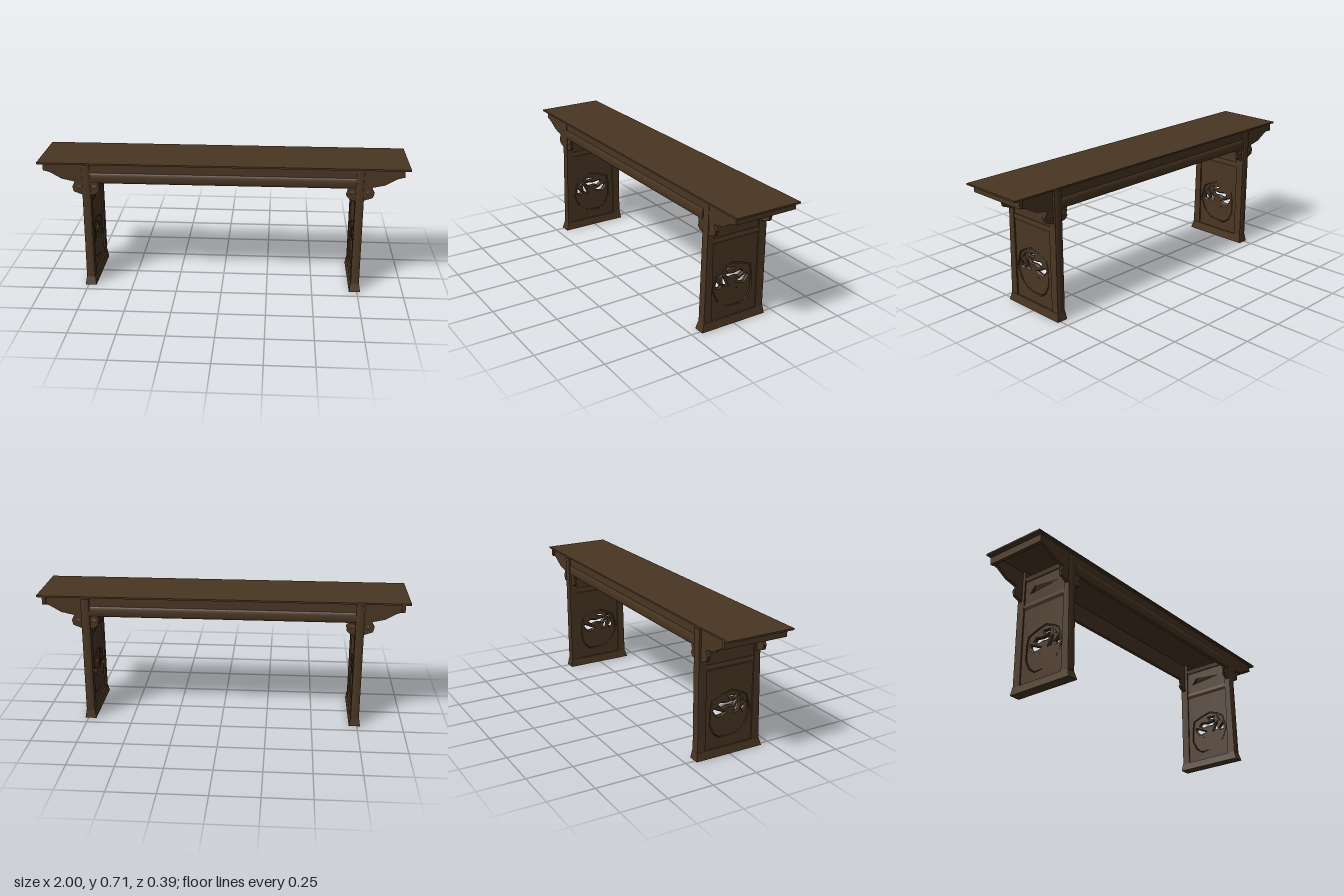
import * as THREE from 'three';

const wood = new THREE.MeshStandardMaterial({ color: 0x4a3623, side: THREE.DoubleSide });
wood.name = 'darkWood';

const LEG_X = 0.737;
const vec = (pts) => pts.map(([a, b]) => new THREE.Vector2(a, b));

function add(group, name, geometry, x = 0, y = 0, z = 0) {
  const mesh = new THREE.Mesh(geometry, wood);
  mesh.name = name;
  mesh.position.set(x, y, z);
  group.add(mesh);
  return mesh;
}

// Box given by its limits
function block(group, name, x0, x1, y0, y1, z0, z1) {
  return add(group, name, new THREE.BoxGeometry(x1 - x0, y1 - y0, z1 - z0),
    (x0 + x1) / 2, (y0 + y1) / 2, (z0 + z1) / 2);
}

// Box whose top rectangle differs from its bottom: [x0, x1, z0, z1]
function taperedBox(bottom, top, y0, y1) {
  const g = new THREE.BoxGeometry(1, 1, 1).toNonIndexed();
  const p = g.attributes.position;
  for (let i = 0; i < p.count; i++) {
    const r = p.getY(i) > 0 ? top : bottom;
    p.setXYZ(i, p.getX(i) > 0 ? r[1] : r[0], p.getY(i) > 0 ? y1 : y0, p.getZ(i) > 0 ? r[3] : r[2]);
  }
  g.computeVertexNormals();
  return g;
}

// Section in (x, y) run along z
function moulding(pts, z0, z1) {
  const g = new THREE.ExtrudeGeometry(new THREE.Shape(vec(pts)), { depth: z1 - z0, bevelEnabled: false });
  return g.translate(0, 0, z0);
}

// Shape in (z, y) thickened evenly about x = 0
function sidePlate(shape, depth, bevel = 0) {
  const g = new THREE.ExtrudeGeometry(shape, {
    depth, bevelEnabled: bevel > 0, bevelThickness: bevel, bevelSize: bevel,
    bevelOffset: -bevel, bevelSegments: 1,
  });
  return g.rotateY(-Math.PI / 2).translate(depth / 2, 0, 0);
}

const medallion = [
  [0.132, 0.215], [0.108, 0.3], [0.07, 0.325], [0.015, 0.346], [-0.04, 0.333], [-0.105, 0.308],
  [-0.116, 0.25], [-0.117, 0.175], [-0.09, 0.12], [-0.05, 0.092], [0.05, 0.105], [0.1, 0.145],
];
const piercings = [
  [[0.094, 0.274], [0.088, 0.304], [0.066, 0.31], [0.076, 0.285]],
  [[0.04, 0.308], [0, 0.31], [0.004, 0.3], [0.034, 0.298]],
  [[0.042, 0.281], [-0.008, 0.274], [-0.05, 0.281], [-0.06, 0.27], [-0.038, 0.255], [-0.01, 0.262], [0.026, 0.259]],
  [[0.064, 0.268], [0.053, 0.259], [0.034, 0.219], [0.058, 0.225]],
  [[0.103, 0.255], [0.079, 0.228], [0.085, 0.217], [0.103, 0.221]],
  [[-0.02, 0.225], [-0.05, 0.236], [-0.087, 0.255], [-0.089, 0.243], [-0.068, 0.215], [-0.04, 0.219]],
  [[0.064, 0.191], [0.034, 0.191], [0.004, 0.179], [0.006, 0.16], [0.034, 0.164]],
  [[0.094, 0.166], [0.072, 0.198], [0.053, 0.16], [0.058, 0.149], [0.092, 0.153]],
  [[0.051, 0.108], [0.015, 0.153], [-0.006, 0.138], [-0.004, 0.128]],
  [[-0.02, 0.128], [-0.064, 0.136], [-0.06, 0.111], [-0.036, 0.108]],
  [[-0.025, 0.2], [-0.04, 0.204], [-0.036, 0.164], [-0.028, 0.145]],
];
const notch = [[0.1, 0.58], [-0.075, 0.6], [-0.11, 0.56]];

function makeLeg() {
  const leg = new THREE.Group();

  // Flared foot and the two leaning posts
  add(leg, 'foot', taperedBox([-0.031, 0.031, -0.196, 0.197], [-0.024, 0.024, -0.19, 0.183], 0, 0.045));
  add(leg, 'frontPost', taperedBox([-0.023, 0.023, 0.137, 0.183], [-0.023, 0.023, 0.137, 0.168], 0.045, 0.705));
  add(leg, 'backPost', taperedBox([-0.023, 0.023, -0.188, -0.143], [-0.023, 0.023, -0.19, -0.143], 0.045, 0.705));
  for (const [z, lean, name] of [[0.181, -0.014, 'frontPostRounding'], [-0.186, -0.002, 'backPostRounding']]) {
    const round = new THREE.CylinderGeometry(0.021, 0.021, 0.655, 12);
    round.scale(1, 1, 0.25);
    const m = add(leg, name, round, 0, 0.3725, z + lean / 2);
    m.rotation.x = Math.atan2(lean, 0.655);
  }

  // Panel with the medallion opening and the upper notch
  const panel = new THREE.Shape(vec([[-0.144, 0.04], [0.138, 0.04], [0.138, 0.66], [-0.144, 0.66]]));
  panel.holes.push(new THREE.Path(vec(medallion)), new THREE.Path(vec(notch)));
  add(leg, 'panel', sidePlate(panel, 0.03));

  // Folded facets inside the notch
  const [A, B, C] = notch, D = [-0.09, 0.574];
  const facets = [];
  for (const s of [-1, 1]) {
    for (const tri of [[A, B, D], [A, D, C], [B, C, D]]) {
      const t = s > 0 ? tri : [tri[0], tri[2], tri[1]];
      for (const p of t) facets.push(s * (p === D ? 0.001 : 0.015), p[1], p[0]);
    }
  }
  const fold = new THREE.BufferGeometry();
  fold.setAttribute('position', new THREE.Float32BufferAttribute(facets, 3));
  fold.computeVertexNormals();
  add(leg, 'notchFacets', fold);

  // Pierced medallion with bevelled lattice
  const disc = new THREE.Shape(vec(medallion));
  for (const h of piercings) disc.holes.push(new THREE.Path(vec(h)));
  add(leg, 'piercedMedallion', sidePlate(disc, 0.01, 0.007));

  // Rails with undercut lower edges
  add(leg, 'middleRail', moulding([[-0.013, 0.465], [0.013, 0.465], [0.022, 0.485], [0.019, 0.505],
    [-0.019, 0.505], [-0.022, 0.485]], -0.143, 0.137));
  add(leg, 'topRail', moulding([[-0.013, 0.637], [0.013, 0.637], [0.019, 0.645], [0.023, 0.668],
    [-0.023, 0.668], [-0.019, 0.645]], -0.143, 0.137));
  return leg;
}

// Long apron with sloping ends and a scroll bracket at each post
function apronGeometry(depth) {
  const half = [[0.97, 0.705], [0.97, 0.667], [0.93, 0.655], [0.87, 0.62], [0.8, 0.605], [0.815, 0.575],
    [0.808, 0.548], [0.78, 0.538], [0.755, 0.528], [0.715, 0.528], [0.685, 0.535], [0.668, 0.553],
    [0.678, 0.572], [0.67, 0.598]];
  const other = half.map(([x, y]) => [-x, y]).reverse();
  return new THREE.ExtrudeGeometry(new THREE.Shape(vec([...half, ...other])), { depth, bevelEnabled: false });
}

export function createModel() {
  const model = new THREE.Group();
  model.name = 'altarTable';

  block(model, 'tableTop', -1, 1, 0.705, 0.714, -0.191, 0.185);

  for (const s of [-1, 1]) {
    const leg = makeLeg();
    leg.name = s > 0 ? 'leftLeg' : 'rightLeg';
    leg.position.x = s * LEG_X;
    model.add(leg);
    block(model, 'endBoard', s * 0.96 - 0.01, s * 0.96 + 0.01, 0.665, 0.705, -0.189, 0.168);
  }

  for (const [z, out, name] of [[0.15, 0.167, 'front'], [-0.178, -0.177, 'back']]) {
    add(model, name + 'Apron', apronGeometry(0.018), 0, 0, z);
    // Rounded lower edge of the apron between the legs
    const bead = new THREE.CylinderGeometry(0.029, 0.029, 1.43, 16);
    bead.rotateZ(Math.PI / 2).scale(1, 1, 0.3);
    add(model, name + 'ApronBead', bead, 0, 0.627, out);
    // Carved leaf pads on the brackets
    for (const s of [-1, 1]) {
      for (const side of [-1, 1]) {
        const pad = new THREE.ConeGeometry(0.034, 0.012, 5);
        pad.rotateX(Math.sign(out) * Math.PI / 2);
        add(model, name + 'BracketLeaf', pad.toNonIndexed(), s * (LEG_X + side * 0.042), 0.572, out);
      }
    }
  }
  return model;
}
